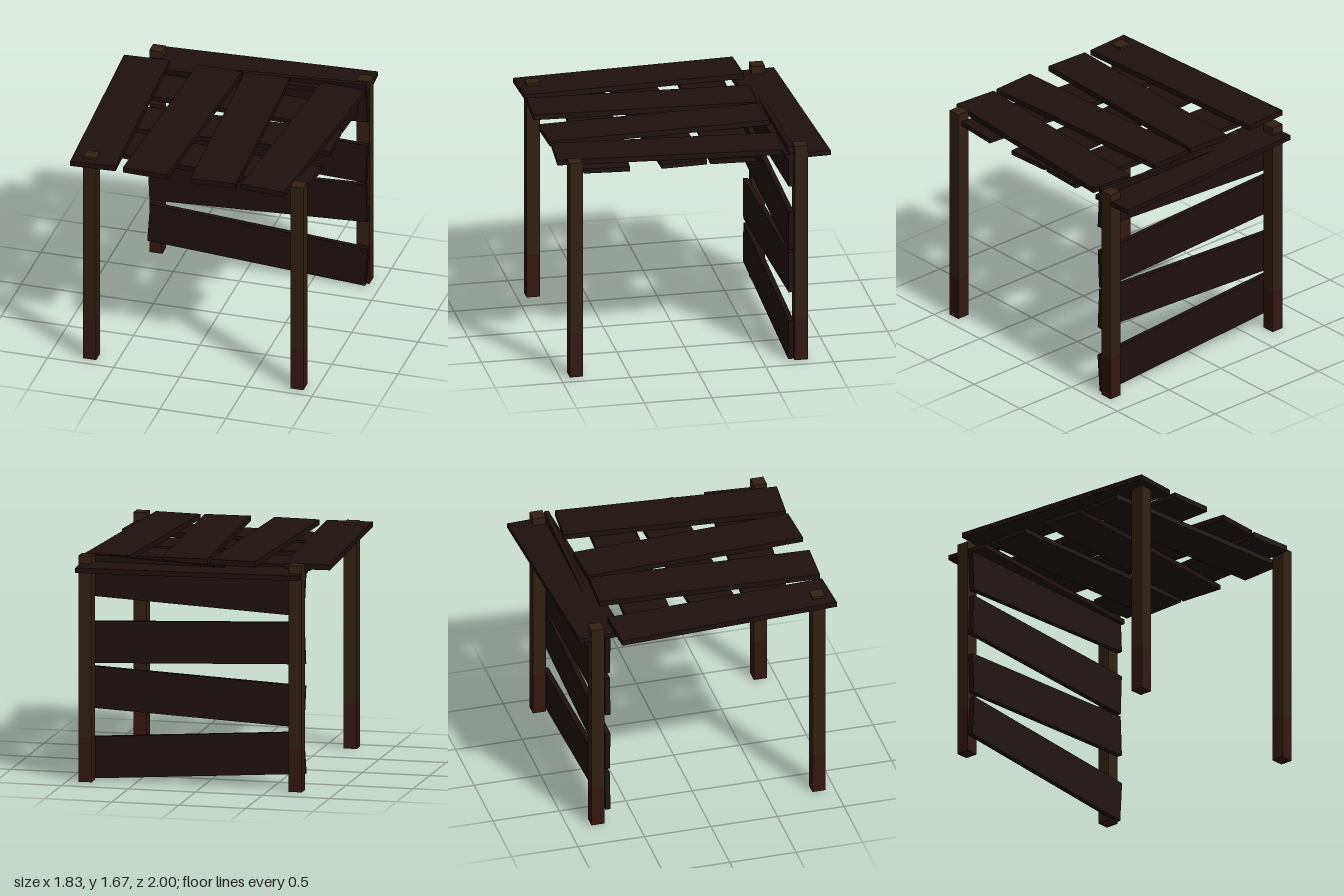
import * as THREE from 'three';

const material = (color) => new THREE.MeshStandardMaterial({ color });

export function createModel() {
  const group = new THREE.Group();
  group.name = 'plankShelter';
  const plankWood = material(0x1d110f);
  const postWood = material(0x302012);
  const footWood = material(0x331710);

  function box(name, size, position, mat) {
    const mesh = new THREE.Mesh(new THREE.BoxGeometry(...size), mat);
    mesh.name = name;
    mesh.position.set(...position);
    group.add(mesh);
    return mesh;
  }

  // Four square posts, each with a stained foot
  const postHeight = 1.67, footHeight = 0.33, postWidth = 0.098;
  for (const [sideName, x] of [['Right', -0.702], ['Left', 0.865]]) {
    for (const [endName, z] of [['front', 0.882], ['back', -0.78]]) {
      const upper = postHeight - footHeight;
      box(`${endName}${sideName}Post`, [postWidth, upper, postWidth], [x, footHeight + upper / 2, z], postWood);
      box(`${endName}${sideName}PostFoot`, [postWidth, footHeight, postWidth], [x, footHeight / 2, z], footWood);
    }
  }

  // Crooked back wall planks: [centre height, slope]
  [[0.214, -0.068], [0.648, 0.047], [1.045, -0.041], [1.472, 0.05]].forEach(([y, slope], i) => {
    const plank = box(`wallPlank${i + 1}`, [1.65, 0.307, 0.038], [0.081, y, -0.705], plankWood);
    plank.rotation.z = Math.atan(slope);
  });

  // Lower roof layer, planks running across: [centre z, slope]
  [[-0.789, -0.052], [-0.316, 0.046], [0.124, -0.051], [0.592, 0.077]].forEach(([z, slope], i) => {
    const plank = box(`lowerRoofPlank${i + 1}`, [1.65, 0.036, 0.338], [0.081, 1.594, z], plankWood);
    plank.rotation.y = -Math.atan(slope);
  });

  // Upper roof layer, planks running front to back: [centre x, slope]
  [[-0.704, 0.052], [-0.231, -0.046], [0.207, 0.05], [0.681, -0.076]].forEach(([x, slope], i) => {
    const plank = box(`upperRoofPlank${i + 1}`, [0.338, 0.04, 1.64], [x, 1.632, 0.167], plankWood);
    plank.rotation.y = Math.atan(slope);
  });

  return group;
}
